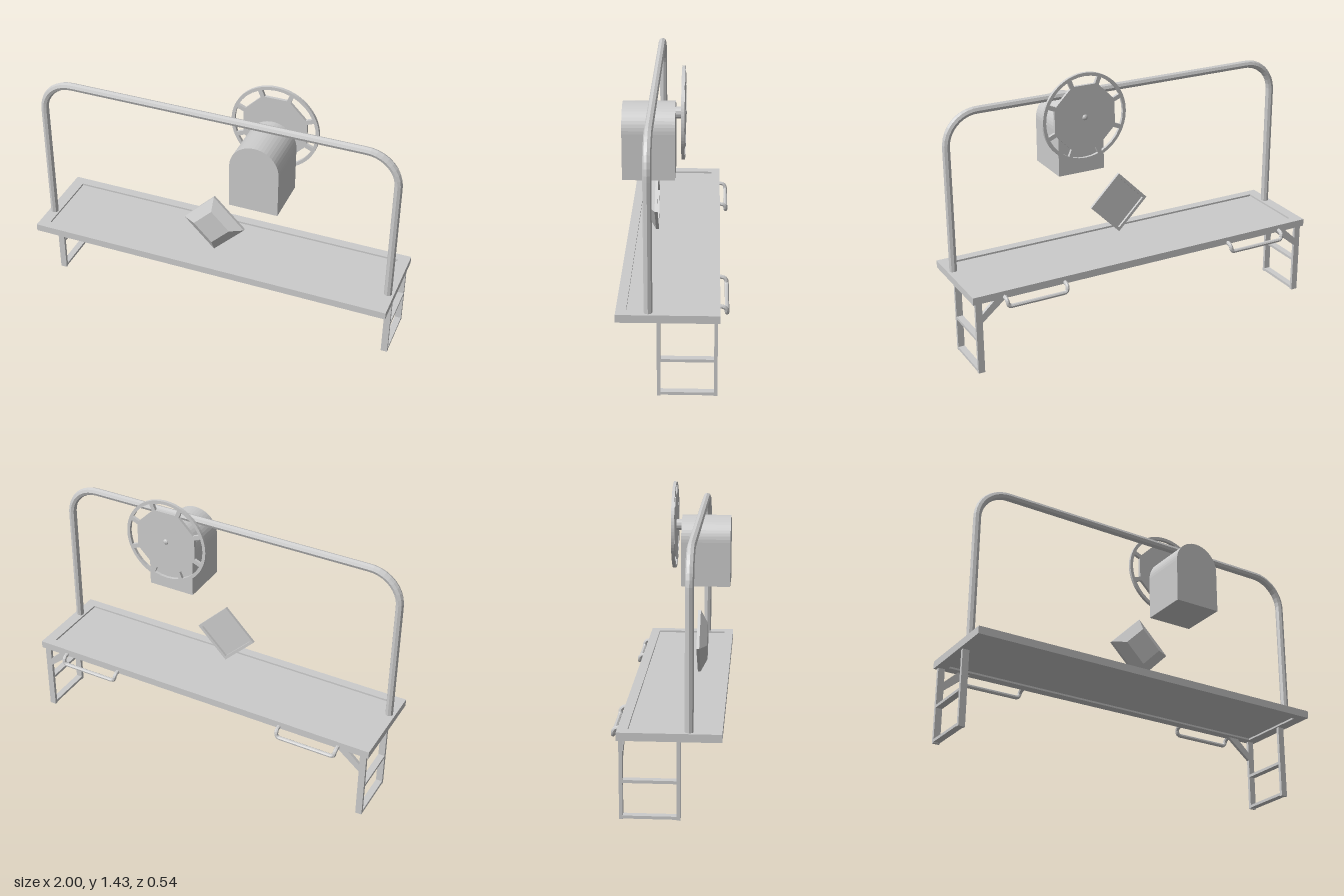
import * as THREE from 'three';

const grey = new THREE.MeshStandardMaterial({ color: 0xcccccc, flatShading: true });
const V = (x, y, z) => new THREE.Vector3(x, y, z);

function add(parent, name, geometry) {
  const mesh = new THREE.Mesh(geometry, grey);
  mesh.name = name;
  parent.add(mesh);
  return mesh;
}

// box given by its limits on each axis
function box(parent, name, [x0, x1], [y0, y1], [z0, z1]) {
  const mesh = add(parent, name, new THREE.BoxGeometry(x1 - x0, y1 - y0, z1 - z0));
  mesh.position.set((x0 + x1) / 2, (y0 + y1) / 2, (z0 + z1) / 2);
  return mesh;
}

function extrude(shape, depth, curveSegments = 12) {
  return new THREE.ExtrudeGeometry(shape, { depth, bevelEnabled: false, curveSegments });
}

// path through points with rounded corners of radius r
function roundedPath(points, r) {
  const path = new THREE.CurvePath();
  let from = points[0];
  for (let i = 1; i < points.length - 1; i++) {
    const p = points[i];
    const a = p.clone().add(points[i - 1].clone().sub(p).setLength(r));
    const b = p.clone().add(points[i + 1].clone().sub(p).setLength(r));
    const k = 0.552;
    path.add(new THREE.LineCurve3(from, a));
    path.add(new THREE.CubicBezierCurve3(a, a.clone().lerp(p, k), b.clone().lerp(p, k), b));
    from = b;
  }
  path.add(new THREE.LineCurve3(from, points[points.length - 1]));
  return path;
}

function rectangle(path, x0, x1, y0, y1) {
  path.moveTo(x0, y0);
  path.lineTo(x1, y0);
  path.lineTo(x1, y1);
  path.lineTo(x0, y1);
  path.closePath();
  return path;
}

// shelf: raised border around a recessed panel
function createShelf() {
  const g = new THREE.Group();
  g.name = 'shelf';
  const border = rectangle(new THREE.Shape(), -1, 1, -0.27, 0.225);
  border.holes.push(rectangle(new THREE.Path(), -0.94, 0.94, -0.22, 0.175));
  const geo = extrude(border, 0.04).rotateX(-Math.PI / 2).translate(0, 0.395, 0);
  add(g, 'shelfBorder', geo);
  box(g, 'shelfPanel', [-0.945, 0.945], [0.405, 0.425], [-0.18, 0.225]);
  return g;
}

// ladder-like leg with a diagonal brace; s is the side
function createLeg(s) {
  const g = new THREE.Group();
  g.name = s > 0 ? 'leftLeg' : 'rightLeg';
  const xs = s > 0 ? [0.95, 0.985] : [-0.985, -0.95];
  box(g, 'frontPost', xs, [0, 0.4], [0.058, 0.075]);
  box(g, 'backPost', xs, [0, 0.4], [-0.215, -0.198]);
  for (const y of [0.004, 0.182]) box(g, 'rung', xs, [y, y + 0.015], [-0.2, 0.06]);
  const pts = [[0.952, 0.28], [0.952, 0.325], [0.875, 0.397], [0.81, 0.397]];
  const brace = new THREE.Shape(pts.map(([x, y]) => new THREE.Vector2(s * x, y)));
  add(g, 'brace', extrude(brace, 0.017).translate(0, 0, -0.215));
  return g;
}

// drooping grab handle on the back edge
function createHandle(s) {
  const path = roundedPath([
    V(s * 0.495, 0.405, -0.215), V(s * 0.495, 0.398, -0.255), V(s * 0.5, 0.362, -0.259),
    V(s * 0.825, 0.362, -0.259), V(s * 0.83, 0.398, -0.255), V(s * 0.83, 0.405, -0.215),
  ], 0.017);
  return new THREE.TubeGeometry(path, 64, 0.011, 8);
}

// rim, spokes and eight-sided disc cut from one plate
function createWheel() {
  const g = new THREE.Group();
  g.name = 'wheel';
  const plate = new THREE.Shape();
  plate.absarc(0, 0, 0.235, 0, Math.PI * 2);
  for (let i = 0; i < 8; i++) {
    const mid = i * Math.PI / 4 + Math.PI / 2;
    const polar = (r, a) => [r * Math.cos(mid + a), r * Math.sin(mid + a)];
    const gap = new THREE.Path();
    gap.moveTo(...polar(0.18, -0.33));
    for (let j = -2; j <= 2; j++) gap.lineTo(...polar(0.218, j * 0.17));
    gap.lineTo(...polar(0.18, 0.33));
    gap.closePath();
    plate.holes.push(gap);
  }
  add(g, 'wheelPlate', extrude(plate, 0.016, 40).translate(0, 0, -0.043));
  const shaft = add(g, 'shaft', new THREE.CylinderGeometry(0.03, 0.03, 0.05, 12).rotateX(Math.PI / 2));
  shaft.position.z = -0.01;
  const cap = add(g, 'hubCap', new THREE.SphereGeometry(0.016, 12, 8));
  cap.position.z = -0.04;
  cap.scale.z = 0.7;
  g.position.set(0.275, 1.2, 0);
  return g;
}

export function createModel() {
  const model = new THREE.Group();
  model.name = 'shelfWithRail';
  model.add(createShelf());

  for (const s of [-1, 1]) {
    model.add(createLeg(s));
    add(model, s > 0 ? 'leftHandle' : 'rightHandle', createHandle(s));
  }

  // tall bent rail
  const rail = roundedPath([
    V(-0.968, 0.42, 0.115), V(-0.968, 1.28, 0.115), V(0.968, 1.28, 0.115), V(0.968, 0.42, 0.115),
  ], 0.17);
  add(model, 'rail', new THREE.TubeGeometry(rail, 120, 0.021, 8));

  // arched housing
  const arch = new THREE.Shape();
  arch.moveTo(0.145, 0.885);
  arch.lineTo(0.405, 0.885);
  arch.absarc(0.275, 1.125, 0.13, 0, Math.PI);
  arch.closePath();
  add(model, 'housing', extrude(arch, 0.265).translate(0, 0, 0.005));
  model.add(createWheel());

  // diamond plate: bevelled front, recessed back
  const profile = [[0, 0.118], [0.147, 0.118], [0.147, 0.105], [0.17, 0.105], [0.17, 0.12], [0.1, 0.157], [0, 0.157]]
    .map(([r, z]) => new THREE.Vector2(r, z));
  const diamond = add(model, 'diamondPlate', new THREE.LatheGeometry(profile, 4).rotateX(Math.PI / 2));
  diamond.position.y = 0.62;

  return model;
}
